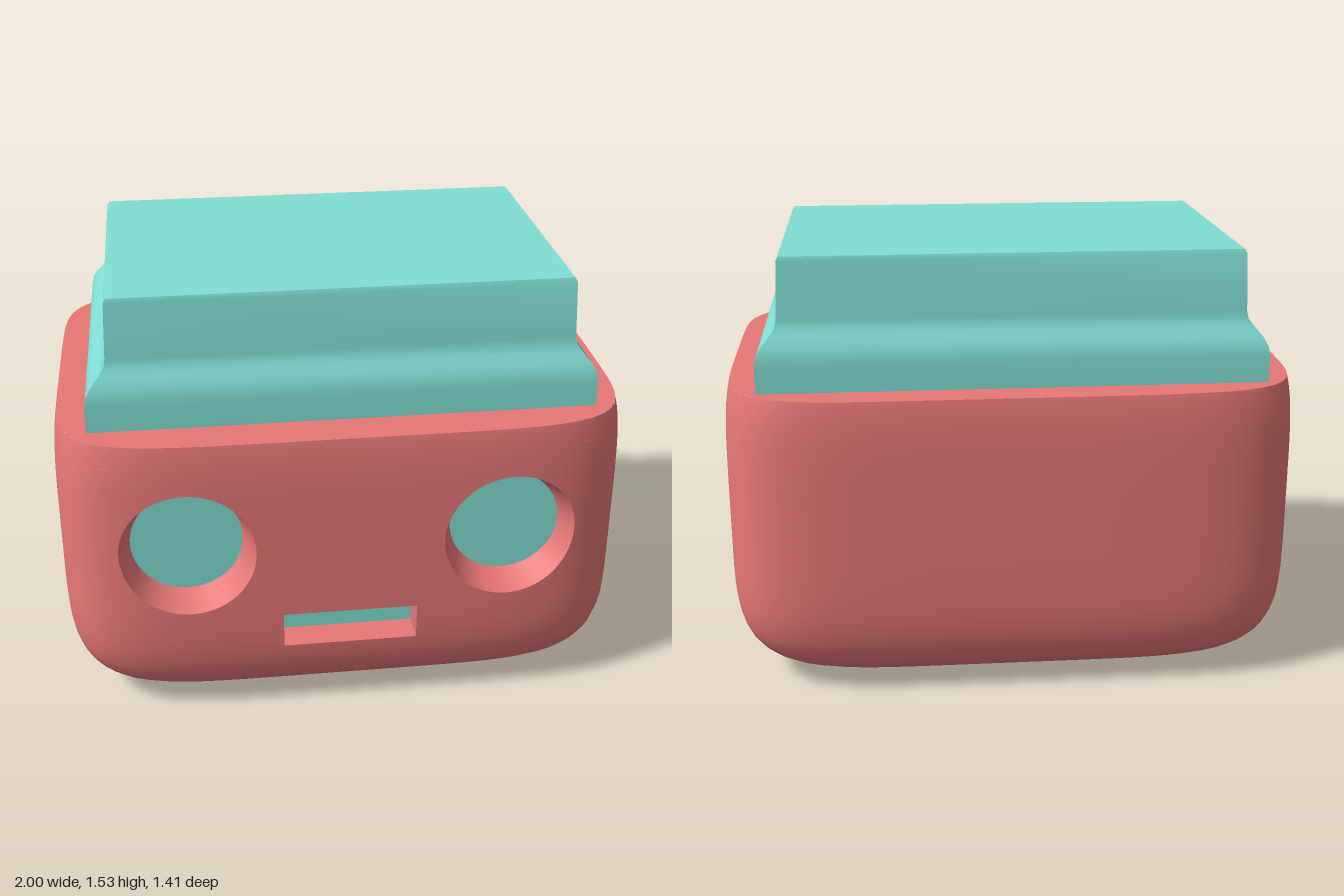
import * as THREE from 'three';
import { toCreasedNormals } from 'three/addons/utils/BufferGeometryUtils.js';

const DEPTH = 0.705, TOP = 1.08, MID = 0.6, INNER_Z = 0.59;
const PANEL = { t: 0.85, split: 0.28, y0: 0.2, y1: 1.0 };

// Rounded-box rule: |x|^6 + |z/DEPTH|^6 = w(y)^6
const drop = y => (y < MID ? (MID - y) / 0.6 : (y - MID) / 0.75);
const widthAt = y => Math.pow(Math.max(0, 1 - drop(y) ** 5), 0.2);
const frontPoint = (x, y) => new THREE.Vector3(x, y, DEPTH * Math.max(0, widthAt(y) ** 6 - x ** 6) ** (1 / 6));

function ringPoint(a, y) {
  const c = Math.cos(a), s = Math.sin(a), w = widthAt(y) * (c ** 6 + s ** 6) ** (-1 / 6);
  return new THREE.Vector3(w * c, y, DEPTH * w * s);
}

function bodyNormal(p) {
  const w = widthAt(p.y);
  if (w < 1e-4) return new THREE.Vector3(0, -1, 0);
  const slope = p.y < MID ? -1 / 0.6 : 1 / 0.75;
  return new THREE.Vector3(p.x ** 5, w * drop(p.y) ** 4 * slope, p.z ** 5 / DEPTH ** 6).normalize();
}

// Grid of points, given as rows; normals come from a rule or from the faces
function gridGeometry(rows, normalRule) {
  const n = rows[0].length, points = rows.flat(), index = [];
  for (let j = 0; j < rows.length - 1; j++) {
    for (let i = 0; i < n - 1; i++) {
      const a = j * n + i, b = a + n;
      index.push(a, b, b + 1, a, b + 1, a + 1);
    }
  }
  const geo = new THREE.BufferGeometry().setFromPoints(points);
  geo.setIndex(index);
  if (!normalRule) return toCreasedNormals(geo, 0.7);
  geo.setAttribute('normal', new THREE.Float32BufferAttribute(points.flatMap(p => normalRule(p).toArray()), 3));
  return geo;
}

const range = (a, b, n) => Array.from({ length: n + 1 }, (_, i) => a + (b - a) * i / n);

// Rectangle outline, counterclockwise from the lower left corner
function rectOutline(x0, x1, y0, y1, n = 16) {
  const corners = [[x0, y0], [x1, y0], [x1, y1], [x0, y1], [x0, y0]];
  const pts = [];
  for (let k = 0; k < 4; k++) {
    for (let i = 0; i < n; i++) {
      const f = i / n, [ax, ay] = corners[k], [bx, by] = corners[k + 1];
      pts.push(new THREE.Vector2(ax + (bx - ax) * f, ay + (by - ay) * f));
    }
  }
  return [...pts, pts[0].clone()];
}

export function createModel() {
  const model = new THREE.Group();
  const red = new THREE.MeshStandardMaterial({ color: 0xe87878 });
  const teal = new THREE.MeshStandardMaterial({ color: 0x80ded4 });
  const add = (parent, name, geo, mat) => {
    const mesh = new THREE.Mesh(geo, mat);
    mesh.name = name;
    parent.add(mesh);
    return mesh;
  };

  const body = new THREE.Group();
  body.name = 'body';
  model.add(body);

  // Heights of the body rings: rounded bottom, wall, upper edge
  const phi0 = Math.atan2(2 / 3, widthAt(PANEL.y0));
  const bottom = range(Math.PI / 2, phi0, 20).map(f => {
    const c = Math.max(0, Math.cos(f)), s = Math.sin(f);
    return MID - 0.6 * s * (c ** 5 + s ** 5) ** -0.2;
  });
  bottom[0] = 0;
  bottom[20] = PANEL.y0;
  const wall = range(PANEL.y0, PANEL.y1, 16), upper = range(PANEL.y1, TOP, 3);
  const a0 = Math.atan2((1 - PANEL.t ** 6) ** (1 / 6), PANEL.t);
  const shell = (name, ys, from, to, n) => add(body, name,
    gridGeometry(ys.map(y => range(from, to, n).map(a => ringPoint(a, y))), bodyNormal), red);

  // Sides and back, then the front below and above the face
  shell('sidesAndBack', [...bottom, ...wall.slice(1), ...upper.slice(1)], Math.PI - a0, 2 * Math.PI + a0, 96);
  shell('frontBottom', bottom, a0, Math.PI - a0, 32);
  shell('frontTop', upper, a0, Math.PI - a0, 32);

  // Flat top rim
  const rim = new THREE.Shape(range(0, 2 * Math.PI, 128).slice(0, -1).map(a => {
    const p = ringPoint(a, TOP);
    return new THREE.Vector2(p.x, p.z);
  }));
  add(body, 'topRim', new THREE.ShapeGeometry(rim).rotateX(-Math.PI / 2).translate(0, TOP, 0), red);

  // Face cell: the curved front around one opening, plus the wall of the opening
  function faceCell(name, t0, t1, hole, deep) {
    const outer = rectOutline(t0, t1, PANEL.y0, PANEL.y1).map(p => new THREE.Vector2(p.x * widthAt(p.y), p.y));
    const edge = hole(outer), inner = deep(outer);
    const rows = range(0, 1, 8).map(f => outer.map((p, i) => {
      const q = edge[i].clone().lerp(p, f);
      return frontPoint(q.x, q.y);
    }));
    add(body, name + 'Surround', gridGeometry(rows, bodyNormal), red);
    const floor = inner.map(p => new THREE.Vector3(p.x, p.y, INNER_Z - 0.005));
    add(body, name + 'Wall', gridGeometry([floor, rows[0]]), red);
  }

  // Round eye openings, tapering inward
  const circle = (cx, r) => outer => outer.map(p => {
    const a = Math.atan2(p.y - 0.67, p.x - cx);
    return new THREE.Vector2(cx + r * Math.cos(a), 0.67 + r * Math.sin(a));
  });
  for (const [name, s] of [['leftEye', 1], ['rightEye', -1]]) {
    const ts = [s * PANEL.split, s * PANEL.t].sort((a, b) => a - b);
    faceCell(name, ...ts, circle(s * 0.557, 0.233), circle(s * 0.557, 0.192));
  }

  // Rectangular mouth slot
  const slot = () => rectOutline(-0.235, 0.235, 0.275, 0.41);
  faceCell('mouth', -PANEL.split, PANEL.split, slot, slot);

  // Inner core seen through the openings
  add(model, 'innerCore', new THREE.BoxGeometry(1.6, 0.8, 1.14).translate(0, 0.6, INNER_Z - 0.57), teal);

  // Stepped lid: four-sided lathe with soft shoulders
  const profile = [[0.868, 1.0], [0.868, 1.17], [0.862, 1.205], [0.845, 1.235], [0.815, 1.27],
    [0.797, 1.295], [0.792, 1.32], [0.784, 1.515], [0.776, 1.53], [0, 1.53]]
    .map(([r, y]) => new THREE.Vector2(r * Math.SQRT2, y));
  const lid = new THREE.LatheGeometry(profile, 4, Math.PI / 4).scale(1, 1, 0.645).translate(0, 0, -0.014);
  lid.deleteAttribute('normal');
  lid.deleteAttribute('uv');
  add(model, 'lid', toCreasedNormals(lid, 0.8), teal);

  return model;
}
